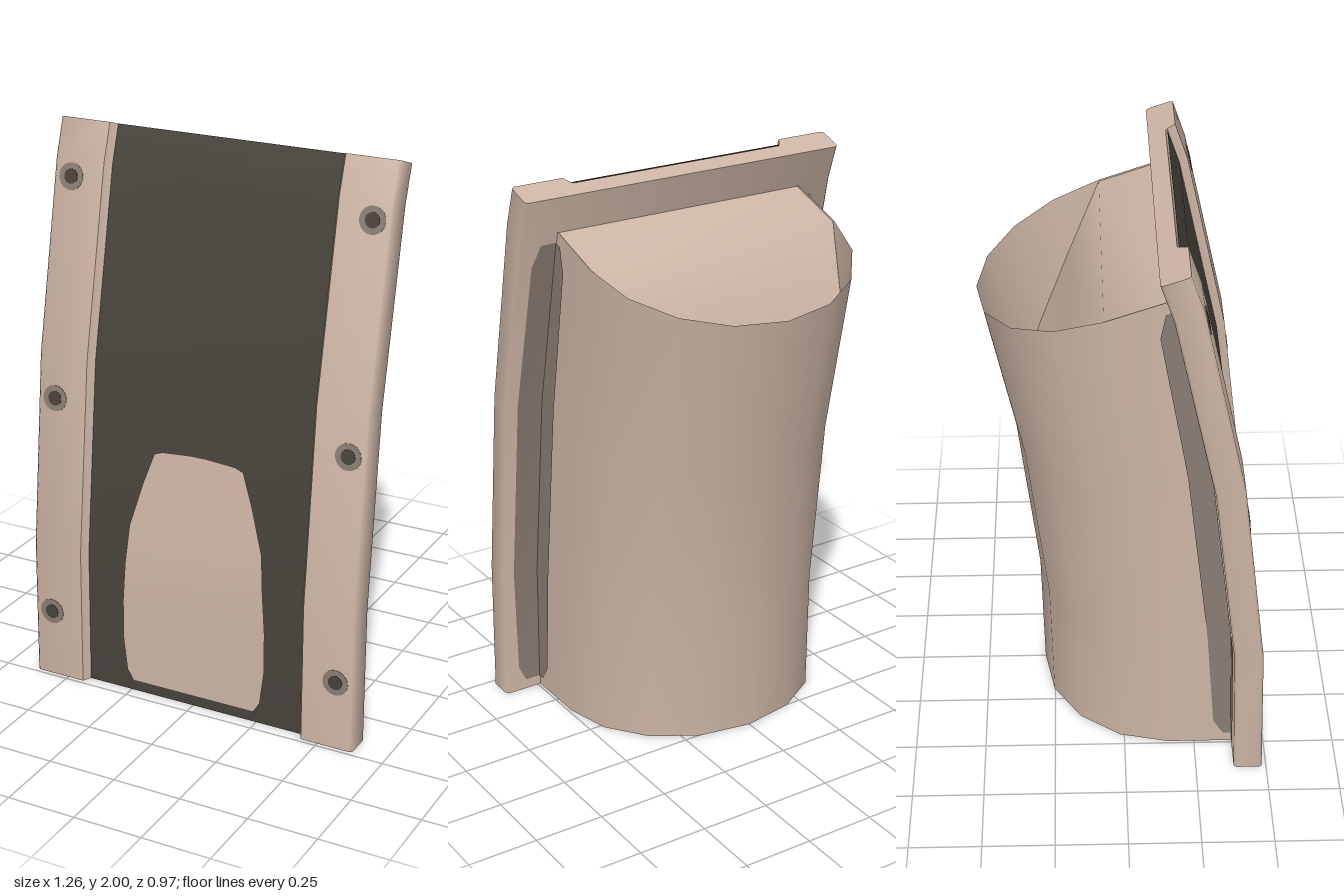
import * as THREE from 'three';
import { toCreasedNormals } from 'three/addons/utils/BufferGeometryUtils.js';

const flat = (name, color) => {
  const m = new THREE.MeshStandardMaterial({ color, side: THREE.DoubleSide });
  m.name = name;
  return m;
};

// Bent spine along the front face: [height, z, tilt in degrees]
const SPINE = [[0, 0.485, 0], [0.5, 0.473, 3.5], [1.2, 0.39, 10.5], [1.87, 0.242, 19], [2, 0.197, 19]];

function spineAt(t) {
  let i = 0;
  while (i < SPINE.length - 2 && t > SPINE[i + 1][0]) i++;
  const [a, b] = [SPINE[i], SPINE[i + 1]];
  const k = (t - a[0]) / (b[0] - a[0]);
  return {
    z: a[1] + (b[1] - a[1]) * k,
    tilt: THREE.MathUtils.degToRad(a[2] + (b[2] - a[2]) * k),
    slope: Math.atan2(a[1] - b[1], b[0] - a[0]),
  };
}

// Point at width x, spine height t and depth d behind the front face
function place(x, t, d) {
  const s = spineAt(t);
  return [x, t - d * Math.sin(s.tilt), s.z - d * Math.cos(s.tilt)];
}

// Skin over rows of [x, t, d] points
function skin(rows, { closed = false, caps = false, crease = 0.6 } = {}) {
  const n = rows[0].length, pos = [], idx = [];
  rows.forEach(r => r.forEach(p => pos.push(...place(...p))));
  for (let i = 0; i < rows.length - 1; i++) {
    for (let j = 0; j < (closed ? n : n - 1); j++) {
      const a = i * n + j, b = i * n + (j + 1) % n;
      idx.push(a, b, b + n, a, b + n, a + n);
    }
  }
  if (caps) {
    const outline = rows[0].map(p => new THREE.Vector2(p[0], p[2]));
    const top = (rows.length - 1) * n;
    for (const [a, b, c] of THREE.ShapeUtils.triangulateShape(outline, [])) {
      idx.push(a, c, b, top + a, top + b, top + c);
    }
  }
  const g = new THREE.BufferGeometry();
  g.setAttribute('position', new THREE.Float32BufferAttribute(pos, 3));
  g.setIndex(idx);
  return toCreasedNormals(g, crease);
}

const loft = (profile, heights, opts) =>
  skin(heights.map(t => profile.map(([x, d]) => [x, t, d])), opts);
const mirrored = half => half.map(([x, d]) => [-x, d]).reverse();

export function createModel() {
  const root = new THREE.Group();
  root.name = 'curvedGuard';
  const tan = flat('tan', 0xcdb5a5);
  const dark = flat('darkPanel', 0x47423b);
  const grey = flat('greyBrown', 0x8a7d72);
  const add = (name, geometry, material) => {
    const m = new THREE.Mesh(geometry, material);
    m.name = name;
    root.add(m);
    return m;
  };
  const full = SPINE.map(s => s[0]);
  const body = full.slice(0, 4);

  // Front plate with a raised rail on each side
  const plate = [[0.415, 0.036], [0.422, 0.03], [0.438, 0], [0.622, 0], [0.631, 0.009], [0.631, 0.091], [0.622, 0.1]];
  add('frontPlate', loft([...plate, ...mirrored(plate)], full, { closed: true, caps: true, crease: 0.9 }), tan);

  // Dark inlay between the rails
  add('darkInlay', loft([[-0.422, 0.03], [0.422, 0.03]], full), dark);

  // Arched pad on the inlay: [height, half width]
  const arch = [[0.04, 0.24], [0.08, 0.265], [0.2, 0.28], [0.35, 0.28], [0.5, 0.27], [0.64, 0.258],
    [0.8, 0.212], [0.915, 0.172], [0.927, 0.14], [0.935, 0.03]];
  add('archedPad', skin(arch.map(([t, w]) => [[-w, t, 0.025], [w, t, 0.025]])), tan);

  // Rounded shell behind the plate
  const half = [[0.49, 0.08], [0.49, 0.33], [0.45, 0.5], [0.345, 0.643], [0.19, 0.738]];
  const shell = [...half, [0, 0.772], ...mirrored(half)];
  add('backShell', loft(shell, body), tan);

  // End walls: a level shelf at the plate, then a ramp into the shell
  const outline = [...half, [0, 0.772]];
  const endWall = (t0, t1) => skin(outline.map(([w, d]) => {
    const t = t0 + (t1 - t0) * Math.max(0, (d - 0.33) / 0.442);
    return [[-w * 0.995, t, d * 0.995], [w * 0.995, t, d * 0.995]];
  }), { crease: 1.2 });
  add('topWall', endWall(1.865, 1.24), tan);
  add('bottomWall', endWall(0.004, 0.5), tan);

  // Grey strips along the corner of plate and shell: [height, outer x, inner depth]
  const stripRows = [[0.04, 0.55, 0.13], [0.1, 0.58, 0.165], [0.5, 0.59, 0.185], [1.2, 0.59, 0.185],
    [1.75, 0.58, 0.165], [1.83, 0.55, 0.13]];
  for (const side of [-1, 1]) {
    const rows = stripRows.map(([t, x, d]) => {
      const r = [[side * x, t, 0.103], [side * 0.494, t, 0.103], [side * 0.494, t, d]];
      return side > 0 ? r : r.reverse();
    });
    add(side > 0 ? 'leftStrip' : 'rightStrip', skin(rows), grey);
  }

  // Screws along the rails
  for (const x of [-0.562, 0.562]) {
    for (const t of [0.25, 1.05, 1.81]) {
      const s = spineAt(t);
      const disc = (name, r, lift, material) => {
        const m = add(name, new THREE.CylinderGeometry(r, r, 0.003, 20), material);
        m.position.set(x, t + lift * Math.sin(s.slope), s.z + lift * Math.cos(s.slope));
        m.rotation.x = Math.PI / 2 - s.slope;
      };
      disc('screwRing', 0.047, 0, grey);
      disc('screwHead', 0.026, 0.0015, dark);
    }
  }
  return root;
}
